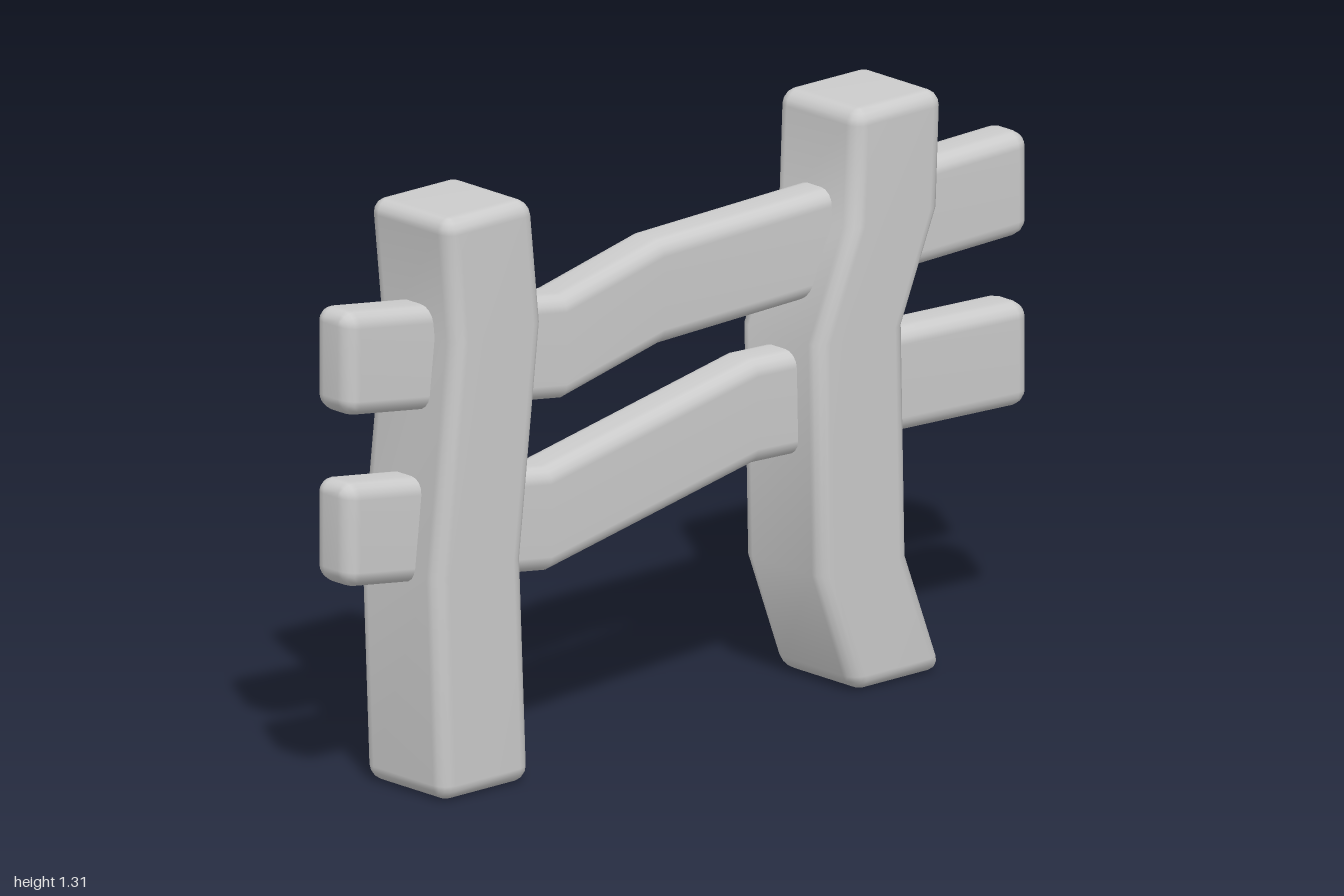
import * as THREE from 'three';
import { mergeVertices } from 'three/addons/utils/BufferGeometryUtils.js';

const material = new THREE.MeshStandardMaterial({ color: 0xcccccc });
const STEPS = 4; // segments per rounded edge

// Sideways offset at length t along a path of [t, offset] points
function offsetAt(path, t) {
  let i = 1;
  while (i < path.length - 1 && t > path[i][0]) i++;
  const [t0, o0] = path[i - 1], [t1, o1] = path[i];
  return o0 + (o1 - o0) * (t - t0) / (t1 - t0);
}

// Rounded beam along z, sheared in y to follow the path
function bentBeam(path, width, height, radius) {
  const start = path[0][0], end = path[path.length - 1][0];

  // Rings: rounded start, one per kink, rounded end
  const rings = [];
  for (let k = 0; k <= STEPS; k++) {
    const a = k / STEPS * Math.PI / 2;
    rings.push([start + radius * (1 - Math.cos(a)), radius * Math.sin(a)]);
  }
  for (const [t] of path.slice(1, -1)) rings.push([t, radius]);
  for (let k = STEPS; k >= 0; k--) {
    const a = k / STEPS * Math.PI / 2;
    rings.push([end - radius * (1 - Math.cos(a)), radius * Math.sin(a)]);
  }

  const positions = [], index = [];
  const corners = [[1, 1], [-1, 1], [-1, -1], [1, -1]];
  const n = 4 * (STEPS + 1);
  for (const [t, r] of rings) {
    const shift = offsetAt(path, t);
    corners.forEach(([sx, sy], c) => {
      for (let k = 0; k <= STEPS; k++) {
        const a = (c + k / STEPS) * Math.PI / 2;
        positions.push(
          sx * (width / 2 - radius) + r * Math.cos(a),
          sy * (height / 2 - radius) + r * Math.sin(a) + shift,
          t);
      }
    });
  }
  for (let i = 0; i < rings.length - 1; i++) {
    for (let j = 0; j < n; j++) {
      const a = i * n + j, b = i * n + (j + 1) % n;
      index.push(a, b, b + n, a, b + n, a + n);
    }
  }

  // End caps
  const first = positions.length / 3, last = first + 1, top = (rings.length - 1) * n;
  positions.push(0, offsetAt(path, start), start, 0, offsetAt(path, end), end);
  for (let j = 0; j < n; j++) {
    const next = (j + 1) % n;
    index.push(first, next, j, last, top + j, top + next);
  }

  let geometry = new THREE.BufferGeometry();
  geometry.setAttribute('position', new THREE.Float32BufferAttribute(positions, 3));
  geometry.setIndex(index);
  geometry = mergeVertices(geometry, 1e-5);
  geometry.computeVertexNormals();
  return geometry;
}

export function createModel() {
  const group = new THREE.Group();
  const add = (name, geometry) => {
    const mesh = new THREE.Mesh(geometry, material);
    mesh.name = name;
    group.add(mesh);
  };

  // Crooked posts: [y, z] of the centre line
  const posts = {
    frontPost: [[0, 0.656], [0.51, 0.677], [1.03, 0.619], [1.312, 0.648]],
    backPost: [[0, -0.556], [0.28, -0.452], [0.805, -0.441], [1.05, -0.543], [1.312, -0.554]],
  };
  for (const [name, path] of Object.entries(posts)) {
    const beam = bentBeam(path.map(([y, z]) => [y, -z]), 0.26, 0.259, 0.035);
    add(name, beam.rotateX(-Math.PI / 2));
  }

  // Wavy rails: [z, y] of the centre line
  const rails = {
    upperRail: [[-1, 1.02], [0.075, 0.991], [0.36, 0.926], [1, 1.017]],
    lowerRail: [[-1, 0.634], [-0.2, 0.664], [0.405, 0.546], [1, 0.63]],
  };
  for (const [name, path] of Object.entries(rails)) {
    add(name, bentBeam(path, 0.116, 0.236, 0.036));
  }

  return group;
}
